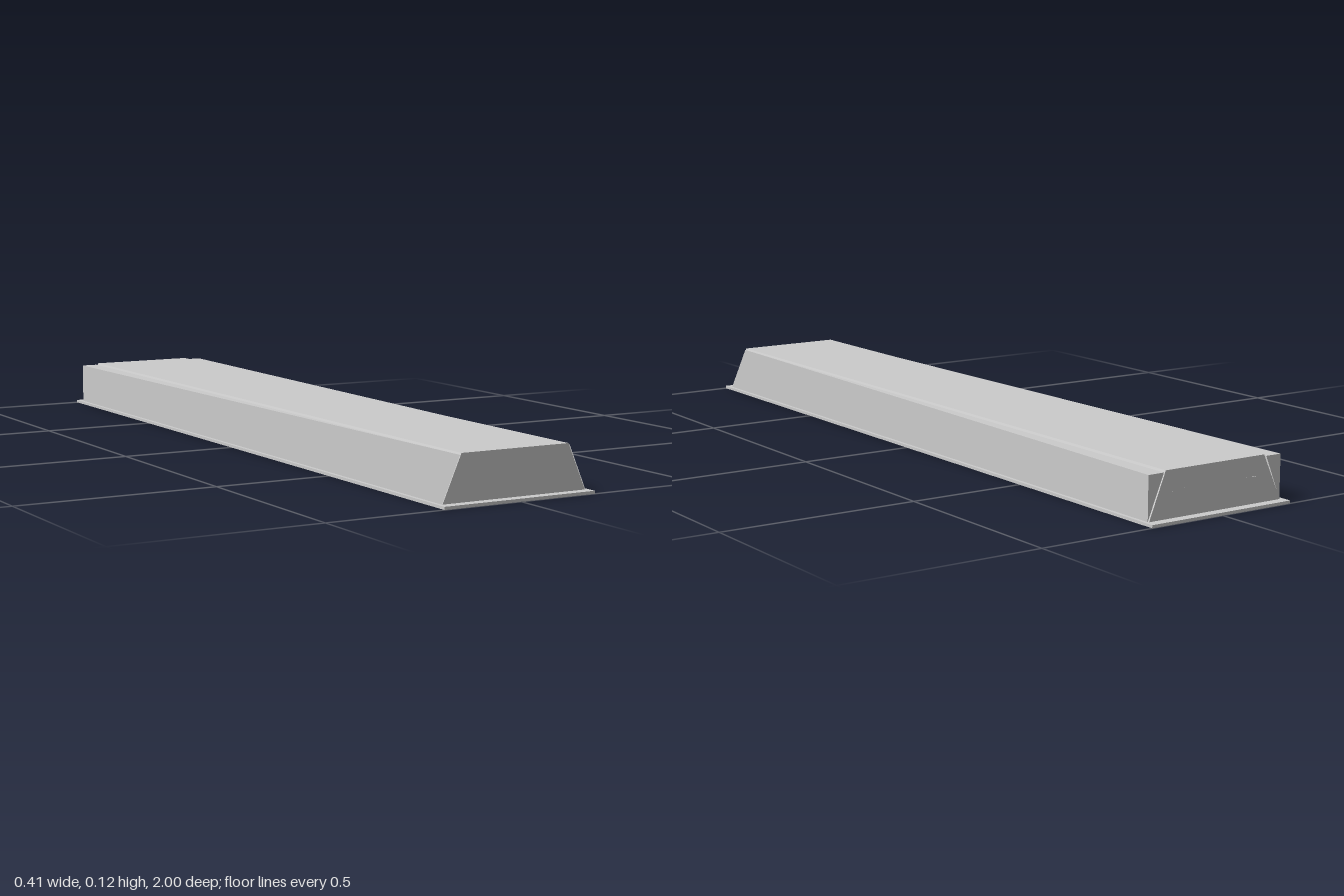
import * as THREE from 'three';

const material = new THREE.MeshStandardMaterial({ color: 0xcccccc, side: THREE.DoubleSide });

function addMesh(group, name, geometry) {
  const mesh = new THREE.Mesh(geometry, material);
  mesh.name = name;
  group.add(mesh);
}

// Flat sheet-metal panels, each a convex loop of [x, y, z] corners
function sheet(panels) {
  const pos = [];
  for (const p of panels)
    for (let i = 1; i < p.length - 1; i++) pos.push(...p[0], ...p[i], ...p[i + 1]);
  const geo = new THREE.BufferGeometry();
  geo.setAttribute('position', new THREE.Float32BufferAttribute(pos, 3));
  geo.computeVertexNormals();
  return geo;
}

// Smooth curved strip running the whole length, from an [x, y] profile
function curvedStrip(profile, length) {
  const curve = new THREE.CatmullRomCurve3(profile.map(([x, y]) => new THREE.Vector3(x, y, 0)));
  const geo = new THREE.PlaneGeometry(1, 1, 32, 1);
  const pos = geo.attributes.position;
  for (let i = 0; i < pos.count; i++) {
    const p = curve.getPoint(pos.getX(i) + 0.5);
    pos.setXYZ(i, p.x, p.y, pos.getY(i) * length);
  }
  geo.computeVertexNormals();
  return geo;
}

const rect = (T, w, d) => new T([[-w, -d], [w, -d], [w, d], [-w, d]].map(p => new THREE.Vector2(...p)));
const mirrored = profile => profile.map(([x, y]) => [-x, y]).reverse();

export function createModel() {
  const group = new THREE.Group();
  const base = 0.007, top = 0.117, shoulder = 0.113;
  const wide = 0.192, narrow = 0.144, end = 0.976;

  // Rectangular flange around the opening
  const shape = rect(THREE.Shape, 0.2025, 1);
  shape.holes.push(rect(THREE.Path, 0.19, 0.975));
  const frame = new THREE.ExtrudeGeometry(shape, { depth: base, bevelEnabled: false });
  addMesh(group, 'flangeFrame', frame.rotateX(-Math.PI / 2));

  // Trapezoid housing, open at the bottom, its back end leaning slightly inward
  const section = (zLow, zTop) =>
    [[wide, base, zLow], [narrow, top, zTop], [-narrow, top, zTop], [-wide, base, zLow]];
  const front = section(end, end), back = section(-end, -end + 0.004);
  const panels = [front, [...back].reverse()];
  for (let i = 0; i < 3; i++) panels.push([front[i], back[i], back[i + 1], front[i + 1]]);
  addMesh(group, 'housing', sheet(panels));

  // Side wedges: square at the back, merging into the sloped sides at the front
  for (const s of [1, -1]) {
    const side = s > 0 ? 'left' : 'right', z = -end + 0.003;
    const lowFront = [s * 0.1935, base, end], lowBack = [s * 0.1935, base, z];
    const outBack = [s * 0.1935, shoulder, z];
    const inFront = [s * 0.1475, shoulder, end], inBack = [s * 0.15, shoulder, z];
    const order = p => (s > 0 ? p : [...p].reverse());

    // Twisted outer wall, shaded evenly as one sideways-facing surface
    const wall = sheet([[lowFront, lowBack, outBack], [lowFront, outBack, inFront]].map(order));
    const normal = wall.attributes.normal;
    for (let i = 0; i < normal.count; i++) normal.setXYZ(i, s, 0, 0);
    addMesh(group, side + 'WedgeWall', wall);

    addMesh(group, side + 'WedgeCap',
      sheet([[inFront, outBack, inBack], [lowBack, inBack, outBack]].map(order)));
  }

  // Reflector wings curving up from the flange, and a rounded diffuser hanging between them
  const wing = [[0.19, 0.005], [0.182, 0.03], [0.165, 0.05], [0.135, 0.065], [0.092, 0.072]];
  const bowl = [[0.092, 0.072], [0.085, 0.043], [0.06, 0.021]];
  const length = 1.948;
  addMesh(group, 'leftReflectorWing', curvedStrip(wing, length));
  addMesh(group, 'rightReflectorWing', curvedStrip(mirrored(wing), length));
  addMesh(group, 'diffuser', curvedStrip([...bowl, [0, 0.012], ...mirrored(bowl)], length));

  return group;
}
